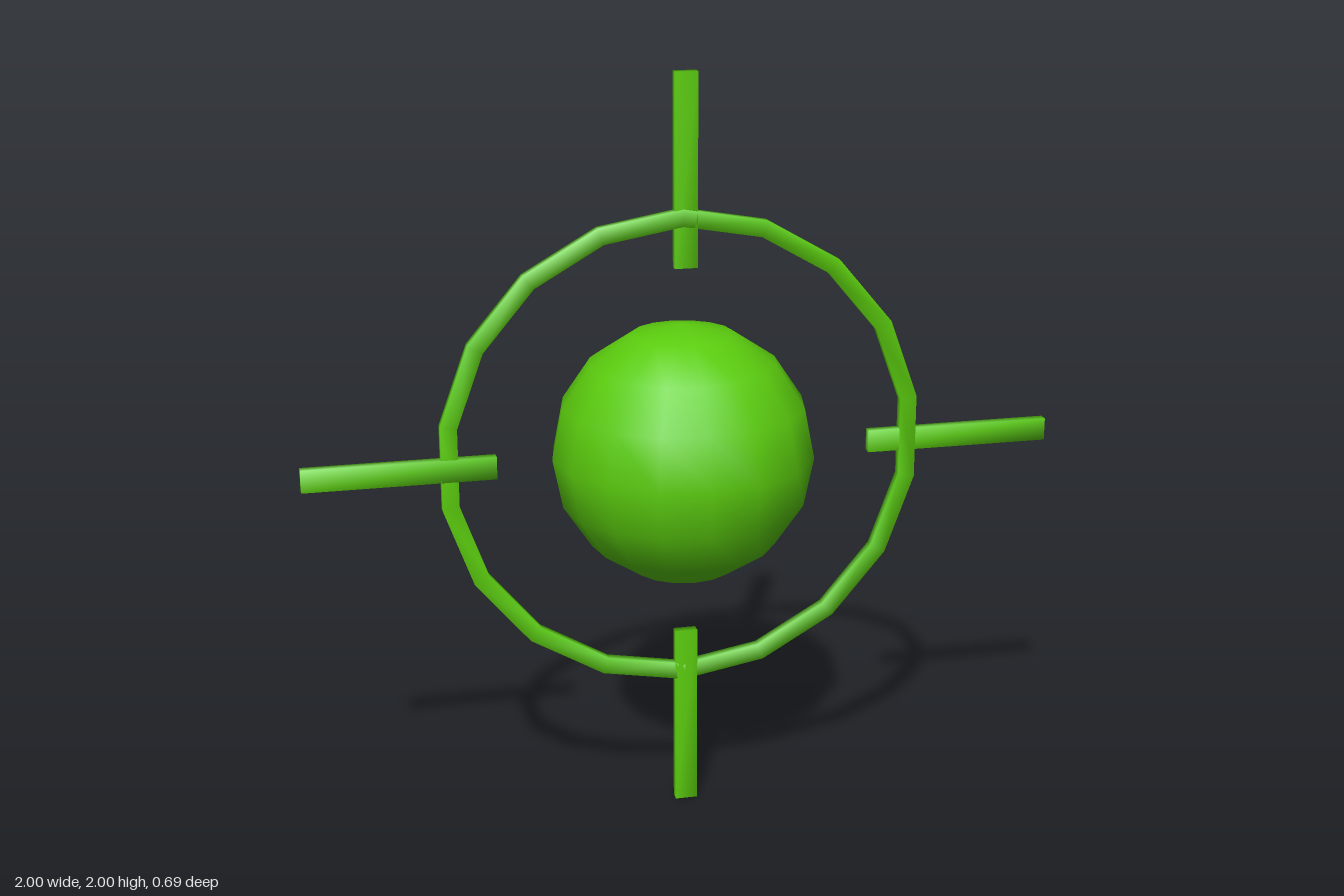
import * as THREE from 'three';
import { mergeVertices } from 'three/addons/utils/BufferGeometryUtils.js';

const DEPTH = 0.027;

// Box whose corners share normals, for soft shading
function softBox(w, h, d) {
  const box = new THREE.BoxGeometry(w, h, d);
  box.deleteAttribute('normal');
  box.deleteAttribute('uv');
  const geo = mergeVertices(box);
  geo.computeVertexNormals();
  return geo;
}

// Flat ring with a rectangular section, facing z
function ringGeometry(inner, outer, depth, sides) {
  const section = [[outer, depth / 2], [inner, depth / 2], [inner, -depth / 2], [outer, -depth / 2]];
  const pos = [], index = [];
  for (let i = 0; i < sides; i++) {
    const a = Math.PI / 2 + (i / sides) * Math.PI * 2;
    const next = (i + 1) % sides;
    section.forEach(([r, z], j) => {
      pos.push(r * Math.cos(a), r * Math.sin(a), z);
      const k = (j + 1) % 4;
      const p = i * 4 + j, q = next * 4 + j, s = next * 4 + k, t = i * 4 + k;
      index.push(p, q, s, p, s, t);
    });
  }
  const geo = new THREE.BufferGeometry();
  geo.setAttribute('position', new THREE.Float32BufferAttribute(pos, 3));
  geo.setIndex(index);
  geo.computeVertexNormals();
  return geo;
}

export function createModel() {
  const green = new THREE.MeshStandardMaterial({ color: 0x5bcc0e });
  green.name = 'green';
  const model = new THREE.Group();
  model.name = 'crosshair';

  const add = (name, geometry, x, y) => {
    const mesh = new THREE.Mesh(geometry, green);
    mesh.name = name;
    mesh.position.set(x, y, 0);
    model.add(mesh);
  };

  // Centre ball and the ring around it
  add('centreBall', new THREE.SphereGeometry(0.347, 16, 8), -0.007, 1.006);
  add('ring', ringGeometry(0.602, 0.647, DEPTH, 18), -0.007, 1.006);

  // Four bars crossing the ring
  const upright = softBox(0.06, 0.5, DEPTH);
  const level = softBox(0.5, 0.06, DEPTH);
  add('topBar', upright, 0, 1.75);
  add('bottomBar', upright, 0, 0.25);
  add('leftBar', level, 0.75, 1);
  add('rightBar', level, -0.75, 1);

  return model;
}
